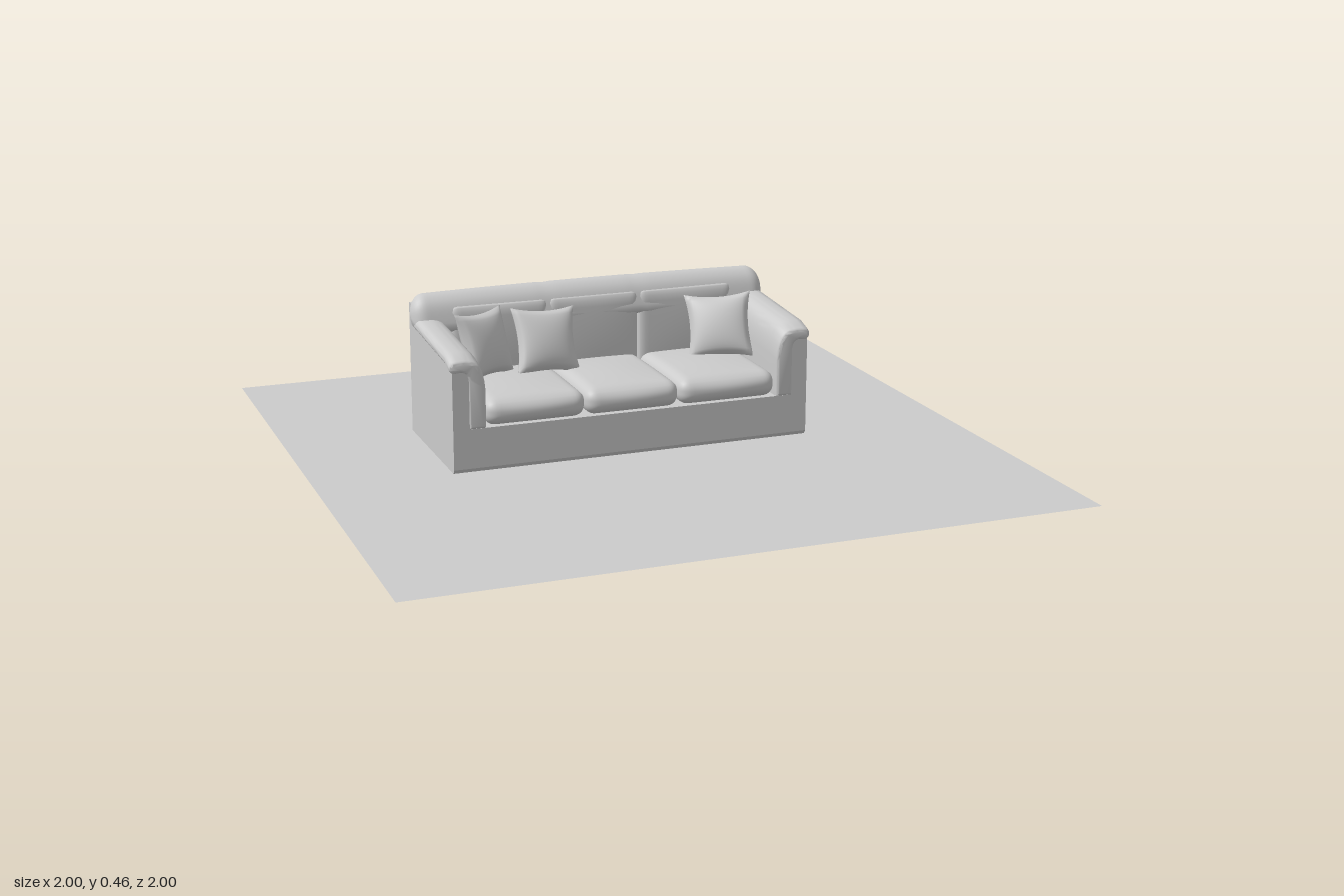
import * as THREE from 'three';
import { mergeVertices, toCreasedNormals } from 'three/addons/utils/BufferGeometryUtils.js';

const mat = new THREE.MeshStandardMaterial({ color: 0xcccccc });
const flatMat = new THREE.MeshStandardMaterial({ color: 0xcccccc, side: THREE.DoubleSide });
const CX = -0.0525; // sofa's middle

function add(parent, name, geometry, x = 0, y = 0, z = 0, material = mat) {
  const mesh = new THREE.Mesh(geometry, material);
  mesh.name = name;
  mesh.position.set(x, y, z);
  parent.add(mesh);
  return mesh;
}

// Weld a deformed geometry and smooth it
function smooth(g) {
  g.deleteAttribute('uv');
  g.deleteAttribute('normal');
  const welded = mergeVertices(g, 1e-5);
  welded.computeVertexNormals();
  return welded;
}

function moveVertices(g, rule) {
  const p = g.attributes.position, v = new THREE.Vector3();
  for (let i = 0; i < p.count; i++) {
    rule(v.fromBufferAttribute(p, i));
    p.setXYZ(i, v.x, v.y, v.z);
  }
  return g;
}

// Rounded block with swollen top and front
function softBox(w, h, d, r, puffY = 0, puffZ = 0) {
  const g = new THREE.BoxGeometry(w, h, d, 28, 14, 28);
  const inner = new THREE.Vector3();
  const high = new THREE.Vector3(w / 2 - r, h / 2 - r, d / 2 - r);
  const low = high.clone().negate();
  moveVertices(g, v => {
    inner.copy(v).clamp(low, high);
    v.sub(inner).setLength(r).add(inner);
    const a = 1 - (2 * v.x / w) ** 2, b = 1 - (2 * v.y / h) ** 2, c = 1 - (2 * v.z / d) ** 2;
    if (v.y > 0) v.y += puffY * a * c;
    if (v.z > 0) v.z += puffZ * a * b;
  });
  return smooth(g);
}

// Extrude a (z, y) outline along x, centred
function sidewaysPrism(points, width) {
  const shape = new THREE.Shape(points.map(p => new THREE.Vector2(...p)));
  const g = new THREE.ExtrudeGeometry(shape, { depth: width, bevelEnabled: false });
  return g.rotateY(-Math.PI / 2).translate(width / 2, 0, 0);
}

// Scatter pillow: domed both sides, edges drawn in between pointed corners
function pillowGeometry(size, thick) {
  const g = new THREE.BoxGeometry(2, 2, 2, 20, 20, 1);
  moveVertices(g, v => {
    const u = v.x, w = v.y, eu = 1 - u * u, ew = 1 - w * w;
    v.x = u * (1 - 0.13 * ew) * size / 2;
    v.y = w * (1 - 0.13 * eu) * size / 2;
    v.z *= thick / 2 * (0.06 + 0.94 * Math.pow(Math.max(0, eu * ew), 0.45));
  });
  return smooth(g);
}

// Arm upholstery: upright strip curling outward over the side panel (for +x side)
function armGeometry() {
  const s = new THREE.Shape();
  s.moveTo(0.463, 0.15);
  s.lineTo(0.496, 0.15);
  s.lineTo(0.496, 0.295);
  s.quadraticCurveTo(0.498, 0.328, 0.525, 0.332);
  s.lineTo(0.546, 0.330);
  s.quadraticCurveTo(0.556, 0.337, 0.546, 0.346);
  s.quadraticCurveTo(0.505, 0.353, 0.485, 0.338);
  s.quadraticCurveTo(0.466, 0.32, 0.463, 0.26);
  const g = new THREE.ExtrudeGeometry(s, {
    depth: 0.40, steps: 10, curveSegments: 8,
    bevelThickness: 0.012, bevelSize: 0.01, bevelSegments: 4,
  });
  g.translate(0, 0, -0.265);
  // the top climbs gently towards the back
  return moveVertices(g, v => {
    const k = THREE.MathUtils.smoothstep(v.y, 0.15, 0.33);
    v.y += k * (0.14 - v.z) * 0.07 - k * 0.012 * THREE.MathUtils.smoothstep(v.z, 0.10, 0.147);
  });
}

// Mirror an unindexed geometry across x = 0, keeping faces outward
function mirrored(g) {
  const m = g.clone().scale(-1, 1, 1);
  for (const a of Object.values(m.attributes)) {
    for (let i = 0; i < a.count; i += 3) {
      for (let k = 0; k < a.itemSize; k++) {
        const t = a.getComponent(i, k);
        a.setComponent(i, k, a.getComponent(i + 2, k));
        a.setComponent(i + 2, k, t);
      }
    }
  }
  return m;
}

// Padded roll along the top of the back, lofted from one cross-section
function backRollGeometry(half, joints) {
  const ring = new THREE.CatmullRomCurve3([
    [-0.200, 0.345], [-0.205, 0.385], [-0.222, 0.425], [-0.250, 0.447],
    [-0.280, 0.446], [-0.293, 0.425], [-0.288, 0.385], [-0.272, 0.345], [-0.235, 0.332],
  ].map(([z, y]) => new THREE.Vector3(0, y, z)), true).getPoints(32).slice(0, 32);
  const sections = 72, n = ring.length, pos = [], idx = [];
  for (let i = 0; i <= sections; i++) {
    const x = half * Math.sin((i / sections - 0.5) * Math.PI);
    const d = Math.min((half - Math.abs(x)) / 0.045, 1);
    let s = Math.sqrt(Math.max(0, 1 - (1 - d) ** 2));
    for (const j of joints) s *= 1 - 0.03 * Math.exp(-(((x - j) / 0.012) ** 2));
    const lift = 0.006 * (1 - (x / half) ** 2);
    for (const p of ring) pos.push(x, 0.388 + (p.y - 0.388) * s + lift, -0.247 + (p.z + 0.247) * s);
    if (i === sections) continue;
    for (let j = 0; j < n; j++) {
      const a = i * n + j, c = i * n + (j + 1) % n;
      idx.push(a, a + n, c, c, a + n, c + n);
    }
  }
  const g = new THREE.BufferGeometry();
  g.setAttribute('position', new THREE.Float32BufferAttribute(pos, 3));
  g.setIndex(idx);
  g.computeVertexNormals();
  return g;
}

export function createModel() {
  const model = new THREE.Group();
  model.name = 'sofaOnFloor';

  // Floor
  add(model, 'floor', new THREE.PlaneGeometry(2, 2).rotateX(-Math.PI / 2), 0, 0, 0, flatMat);

  const sofa = new THREE.Group();
  sofa.name = 'sofa';
  sofa.position.x = CX;
  model.add(sofa);

  // Frame: base with a chamfered toe, back panel, side panels
  add(sofa, 'base', sidewaysPrism(
    [[-0.30, 0.012], [0.135, 0.012], [0.143, 0.024], [0.143, 0.142], [-0.30, 0.142]], 1.06));
  add(sofa, 'backPanel', new THREE.BoxGeometry(1.105, 0.403, 0.04), 0, 0.2135, -0.295);
  const panel = sidewaysPrism(
    [[-0.29, 0.012], [0.135, 0.012], [0.143, 0.024], [0.143, 0.328], [-0.2, 0.35], [-0.29, 0.355]], 0.05);
  const arm = armGeometry();
  for (const side of [1, -1]) {
    const name = side > 0 ? 'left' : 'right';
    add(sofa, name + 'SidePanel', panel, side * 0.5275);
    add(sofa, name + 'Arm', toCreasedNormals(side > 0 ? arm : mirrored(arm), 0.7));
  }

  // Seat and back cushions, three of each
  const seams = [-0.4535, -0.148, 0.144, 0.4535];
  for (let i = 0; i < 3; i++) {
    const w = seams[i + 1] - seams[i], x = (seams[i] + seams[i + 1]) / 2;
    add(sofa, 'seatCushion', softBox(w, 0.078, 0.365, 0.034, 0.01, 0.012), x, 0.179, -0.04);
    add(sofa, 'backCushion', softBox(w, 0.25, 0.09, 0.02, 0, 0.006), x, 0.29, -0.247);
  }
  add(sofa, 'backRoll', backRollGeometry(0.567, [seams[1], seams[2]]));

  // Scatter pillows: x, y, z, turn, lean, roll
  const pillow = pillowGeometry(0.205, 0.075);
  for (const [x, y, z, turn, lean, roll] of [
    [-0.43, 0.318, -0.115, 0.6, -0.3, -0.05],
    [-0.235, 0.307, -0.13, 0.1, -0.4, -0.06],
    [0.32, 0.307, -0.11, -0.4, -0.42, 0.08],
  ]) {
    add(sofa, 'pillow', pillow, x - CX, y, z).rotation.set(lean, turn, roll, 'YXZ');
  }
  return model;
}
